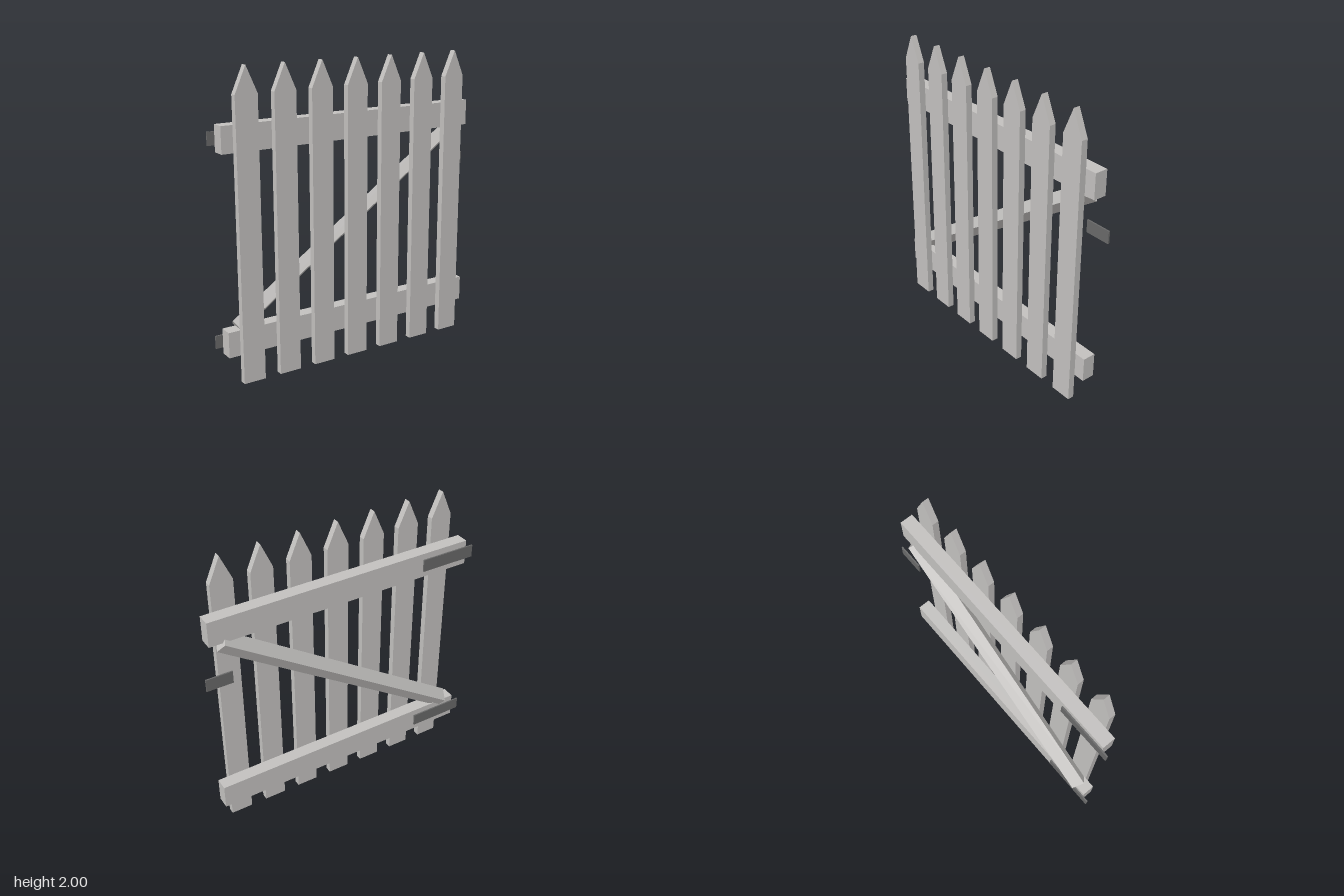
import * as THREE from 'three';

export function createModel() {
  const gate = new THREE.Group();
  gate.name = 'picketGate';

  const wood = new THREE.MeshStandardMaterial({ color: 0xc2c0be });
  wood.name = 'grey wood';
  const iron = new THREE.MeshStandardMaterial({ color: 0x686868 });
  iron.name = 'dark iron';

  const add = (name, geometry, material) => {
    const mesh = new THREE.Mesh(geometry, material);
    mesh.name = name;
    gate.add(mesh);
    return mesh;
  };

  // Box given by its limits on each axis
  const addBox = (name, [x0, x1], [y0, y1], [z0, z1], material) => {
    const mesh = add(name, new THREE.BoxGeometry(x1 - x0, y1 - y0, z1 - z0), material);
    mesh.position.set((x0 + x1) / 2, (y0 + y1) / 2, (z0 + z1) / 2);
  };

  const outline = (points) => new THREE.Shape(points.map(([x, y]) => new THREE.Vector2(x, y)));

  // Seven pointed pickets
  const picketGeometry = new THREE.ExtrudeGeometry(
    outline([[-0.075, 0], [0.075, 0], [0.075, 1.83], [0, 2], [-0.075, 1.83]]),
    { depth: 0.044, bevelEnabled: false }
  );
  for (let i = -3; i <= 3; i++) {
    add('picket', picketGeometry, wood).position.set(i * 0.26, 0, 0.038);
  }

  // Two rails, each with a hinge strap on the back
  for (const [name, y] of [['lower', 0.18], ['upper', 1.48]]) {
    addBox(name + 'Rail', [-0.932, 0.932], [y, y + 0.17], [-0.051, 0.038], wood);
    addBox(name + 'Hinge', [-0.98, -0.59], [y + 0.042, y + 0.127], [-0.061, -0.051], iron);
  }

  // Latch plate
  addBox('latch', [0.8, 0.978], [1.18, 1.265], [-0.061, -0.051], iron);

  // Diagonal brace, turned on its edge: section is (depth, height across the brace)
  const length = 2.03;
  const angle = Math.atan2(2, 3);
  const braceGeometry = new THREE.ExtrudeGeometry(
    outline([[-0.006, 0.064], [-0.082, 0.005], [-0.04, -0.064], [0.036, -0.005]]),
    { depth: length, bevelEnabled: false }
  );
  braceGeometry.translate(0, 0, -length / 2);
  braceGeometry.applyMatrix4(new THREE.Matrix4().makeBasis(
    new THREE.Vector3(0, 0, 1),
    new THREE.Vector3(-Math.sin(angle), Math.cos(angle), 0),
    new THREE.Vector3(-Math.cos(angle), -Math.sin(angle), 0)
  ));
  add('diagonalBrace', braceGeometry, wood).position.y = 0.915;

  return gate;
}
